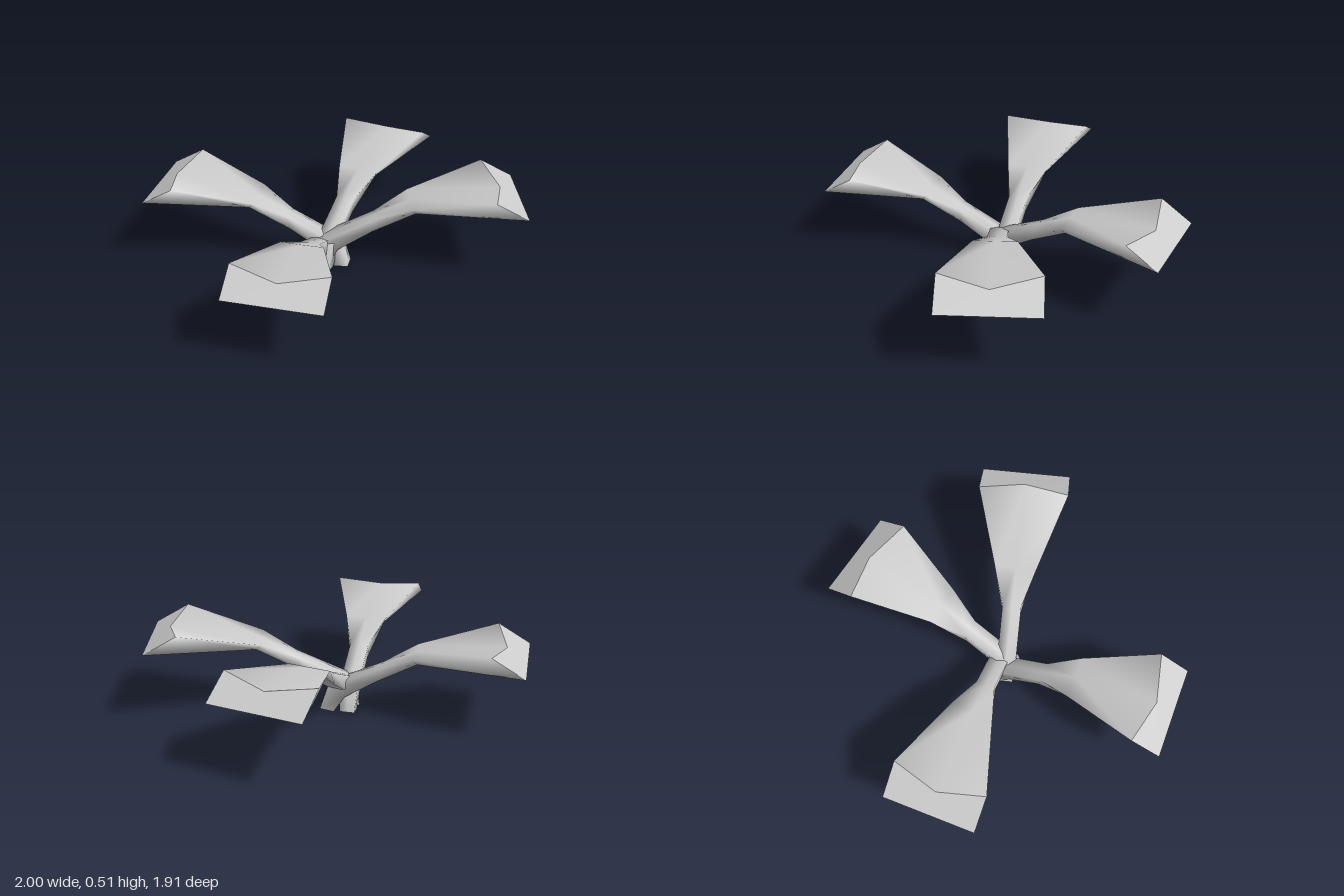
import * as THREE from 'three';

const material = new THREE.MeshStandardMaterial({ color: 0xcccccc, side: THREE.DoubleSide });

// Leaf sections from root to tip: reach and height of the underside, of the
// top edges and of the top centre, then half widths of underside and top.
const sections = [
  { under: [-0.02, 0.0], edge: [-0.095, 0.01], mid: [-0.095, 0.01], wUnder: 0.04, wEdge: 0.04 },
  { under: [0.04, 0.095], edge: [-0.05, 0.145], mid: [-0.05, 0.15], wUnder: 0.045, wEdge: 0.05 },
  { under: [0.215, 0.21], edge: [0.225, 0.28], mid: [0.225, 0.285], wUnder: 0.05, wEdge: 0.05 },
  { under: [0.42, 0.345], edge: [0.395, 0.373], mid: [0.4, 0.375], wUnder: 0.1, wEdge: 0.11 },
  { under: [0.95, 0.378], edge: [0.785, 0.475], mid: [0.845, 0.44], wUnder: 0.24, wEdge: 0.24 },
];

// Closed five-sided tube along +z, with a slanted tip
function leafGeometry(length, lift) {
  const stretch = length / 0.95;
  const positions = [], index = [];
  const addRing = (s, i) => {
    const rise = i === 0 ? lift * 0.5 : lift;
    const add = (x, [r, y]) => positions.push(x, y + rise, r * (r > 0 ? stretch : 1));
    add(-s.wUnder, s.under);
    add(s.wUnder, s.under);
    add(s.wEdge, s.edge);
    add(0, s.mid);
    add(-s.wEdge, s.edge);
  };
  sections.forEach(addRing);
  const last = sections.length - 1;
  for (let i = 0; i < last; i++) {
    for (let j = 0; j < 5; j++) {
      const a = i * 5 + j, b = i * 5 + (j + 1) % 5;
      index.push(a, b, b + 5, a, b + 5, a + 5);
    }
  }
  // End faces with their own corners, so they stay sharp
  const root = positions.length / 3;
  addRing(sections[0], 0);
  const tip = root + 5;
  addRing(sections[last], last);
  for (const [a, b] of [[4, 0], [0, 1], [1, 2]]) {
    index.push(root + 3, root + b, root + a, tip + 3, tip + a, tip + b);
  }
  const geometry = new THREE.BufferGeometry();
  geometry.setAttribute('position', new THREE.Float32BufferAttribute(positions, 3));
  geometry.setIndex(index);
  geometry.computeVertexNormals();
  return geometry;
}

export function createModel() {
  const plant = new THREE.Group();
  plant.name = 'leafCluster';

  const leaves = [
    { name: 'frontLeaf', angle: 11, x: -0.045, z: 0.02, length: 0.905, lift: 0 },
    { name: 'leftLeaf', angle: 116, x: 0, z: 0, length: 0.995, lift: 0.034 },
    { name: 'backLeaf', angle: 180, x: -0.01, z: 0, length: 0.955, lift: 0.02 },
    { name: 'rightLeaf', angle: -79, x: 0, z: -0.035, length: 0.97, lift: 0 },
  ];
  for (const { name, angle, x, z, length, lift } of leaves) {
    const leaf = new THREE.Mesh(leafGeometry(length, lift), material);
    leaf.name = name;
    leaf.position.set(x, 0, z);
    leaf.rotation.y = THREE.MathUtils.degToRad(angle);
    plant.add(leaf);
  }
  return plant;
}
